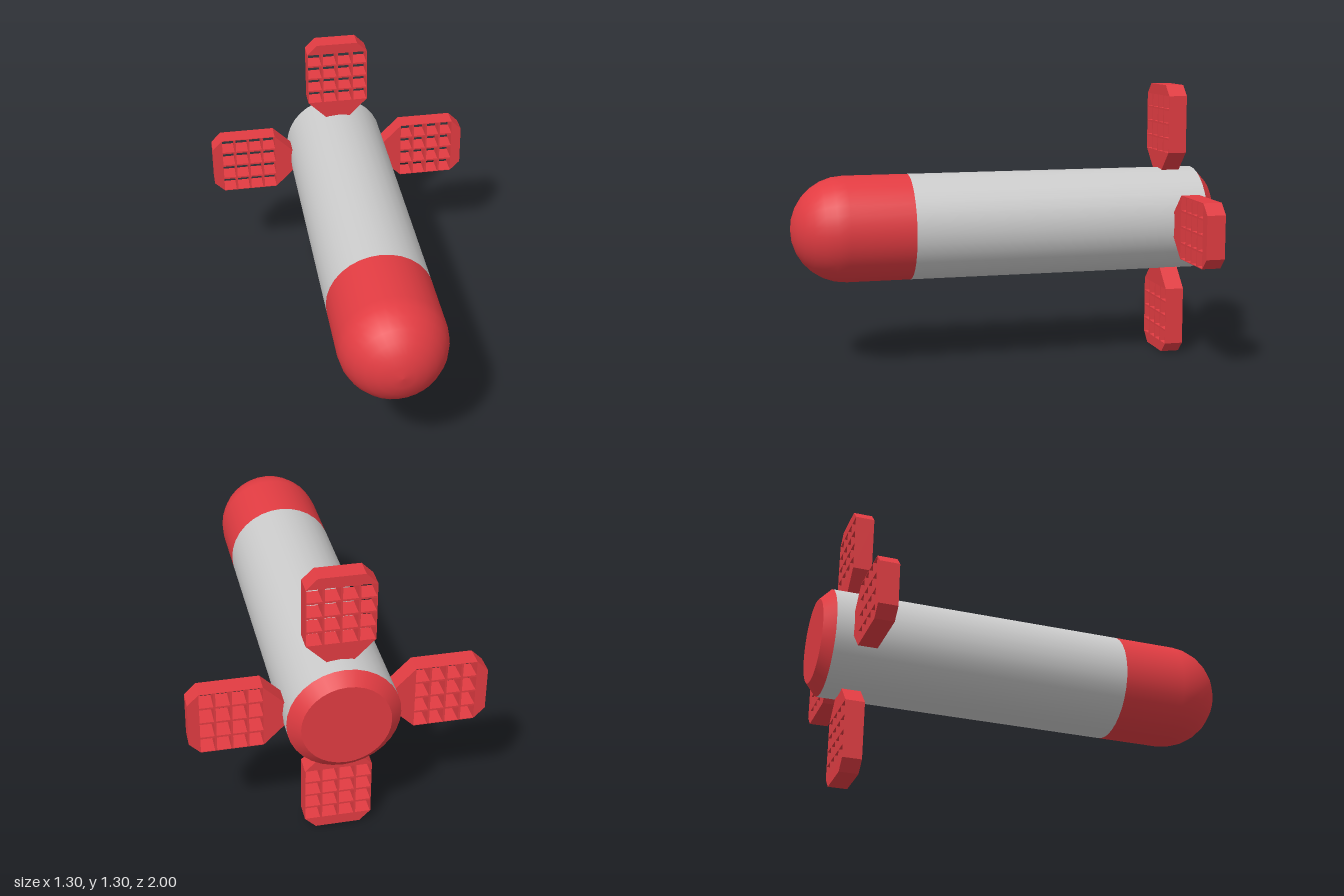
import * as THREE from 'three';

const RADIUS = 0.248, AXIS_Y = 0.65, SIDES = 32;

// Grid fin in the XY plane: root towards the origin, tip along +y, a 4 x 4 lattice of square holes
function finGeometry() {
  const depth = 0.088, bar = 0.009, inner = 0.33, outer = 0.6, half = 0.147;
  const right = [[0.04, 0.22], [0.15, 0.33], [0.15, 0.6], [0.1, 0.65]];
  const left = right.map(([x, y]) => [-x, y]).reverse();
  const shape = new THREE.Shape([...right, ...left].map(([x, y]) => new THREE.Vector2(x, y)));

  const stepX = (2 * half + bar) / 4, stepY = (outer - inner + bar) / 4;
  for (let i = 0; i < 4; i++) {
    for (let j = 0; j < 4; j++) {
      const x0 = -half + i * stepX, y0 = inner + j * stepY;
      const x1 = x0 + stepX - bar, y1 = y0 + stepY - bar;
      shape.holes.push(new THREE.Path([
        new THREE.Vector2(x0, y0), new THREE.Vector2(x0, y1),
        new THREE.Vector2(x1, y1), new THREE.Vector2(x1, y0),
      ]));
    }
  }
  const geometry = new THREE.ExtrudeGeometry(shape, { depth, bevelEnabled: false });
  return geometry.translate(0, 0, -depth / 2);
}

export function createModel() {
  const model = new THREE.Group();
  model.name = 'rocket';
  const grey = new THREE.MeshStandardMaterial({ color: 0xcccccc });
  const red = new THREE.MeshStandardMaterial({ color: 0xe23c42 });

  const add = (name, geometry, material, z) => {
    const mesh = new THREE.Mesh(geometry, material);
    mesh.name = name;
    mesh.position.set(0, AXIS_Y, z);
    model.add(mesh);
    return mesh;
  };

  // Main tube along z
  const tube = new THREE.CylinderGeometry(RADIUS, RADIUS, 1.4, SIDES, 1, true).rotateX(Math.PI / 2);
  add('body', tube, grey, -0.25);

  // Rounded nose: short straight collar, then a hemisphere
  const profile = [new THREE.Vector2(RADIUS, 0)];
  const steps = 7;
  for (let i = 0; i <= steps; i++) {
    const a = (i / steps) * Math.PI / 2;
    profile.push(new THREE.Vector2(RADIUS * Math.cos(a), 0.3 + 0.25 * Math.sin(a)));
  }
  add('noseCone', new THREE.LatheGeometry(profile, SIDES).rotateX(Math.PI / 2), red, 0.45);

  // Chamfered tail cap
  const tail = new THREE.CylinderGeometry(RADIUS, 0.195, 0.05, SIDES).rotateX(Math.PI / 2);
  add('tailCap', tail, red, -0.975);

  // Four grid fins around the tail
  const fin = finGeometry();
  ['topFin', 'leftFin', 'bottomFin', 'rightFin'].forEach((name, i) => {
    add(name, fin, red, -0.826).rotation.z = -i * Math.PI / 2;
  });

  return model;
}
